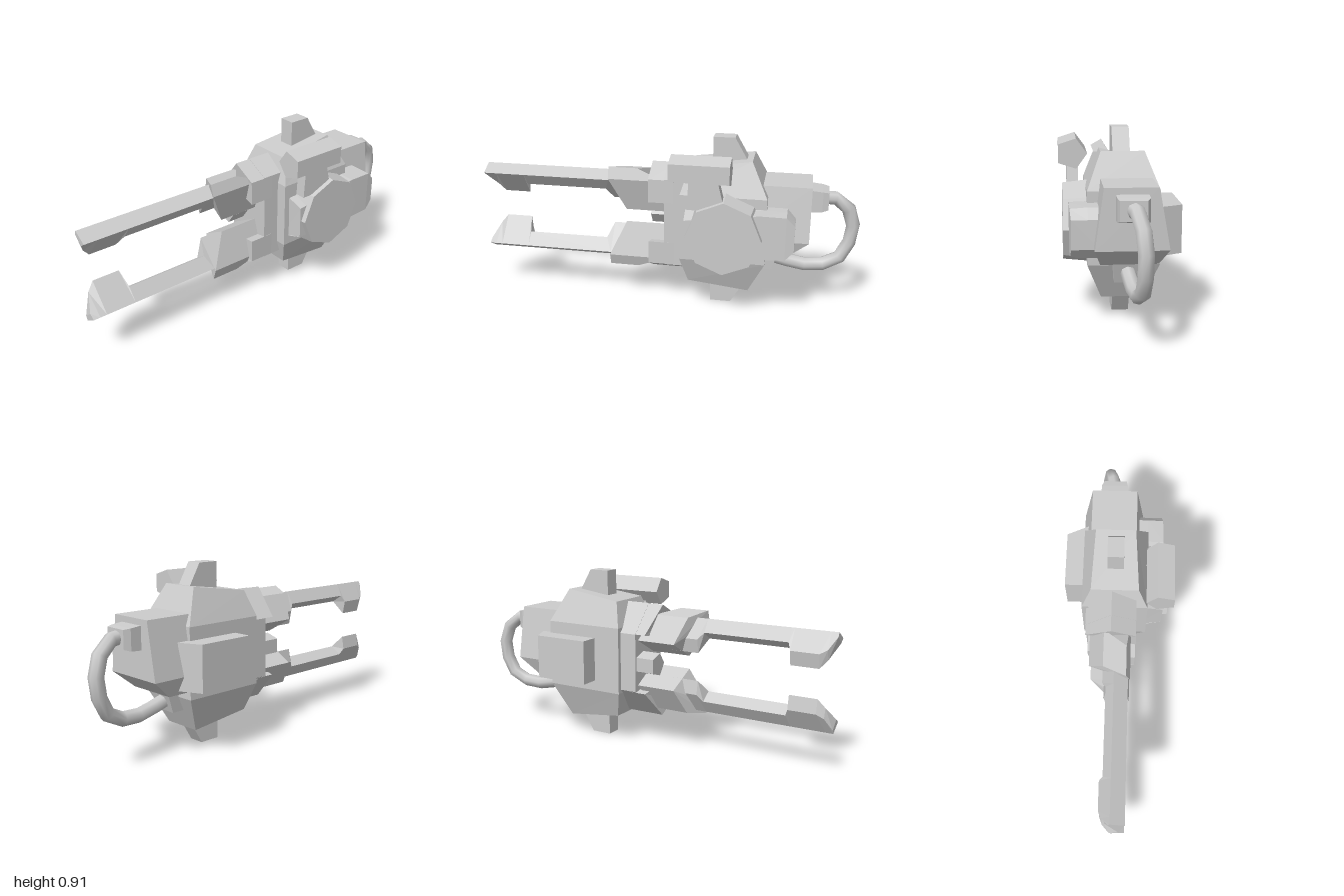
import * as THREE from 'three';

const MID = 0.4555; // height of the horizontal mirror plane

// Closed skin over rings of equal point count, with capped ends.
function loft(rings) {
  const n = rings[0].length, pts = rings.flat(), idx = [];
  for (let r = 0; r < rings.length - 1; r++)
    for (let i = 0; i < n; i++) {
      const j = (i + 1) % n, a = r * n + i, b = r * n + j, c = b + n, d = a + n;
      idx.push(a, b, c, a, c, d);
    }
  const e = (rings.length - 1) * n;
  for (let i = 1; i < n - 1; i++) idx.push(0, i + 1, i, e, e + i, e + i + 1);
  // turn the faces outward whichever way the rings run
  const v = pts.map(p => new THREE.Vector3(...p));
  let vol = 0;
  for (let i = 0; i < idx.length; i += 3)
    vol += v[idx[i]].dot(v[idx[i + 1]].clone().cross(v[idx[i + 2]]));
  if (vol < 0) idx.reverse();
  const g = new THREE.BufferGeometry();
  g.setAttribute('position', new THREE.Float32BufferAttribute(pts.flat(), 3));
  g.setIndex(idx);
  const flat = g.toNonIndexed();
  flat.computeVertexNormals();
  return flat;
}

// Prism along z; each outline point is [x, y, frontZ, backZ].
const prism = o => loft([o.map(p => [p[0], p[1], p[3]]), o.map(p => [p[0], p[1], p[2]])]);
// Rectangular ring at height y.
const row = (y, x0, x1, zf, zb) => [[x0, y, zf], [x1, y, zf], [x1, y, zb], [x0, y, zb]];
// Rectangular ring at depth z.
const slice = (z, x0, x1, y0, y1) => [[x0, y0, z], [x1, y0, z], [x1, y1, z], [x0, y1, z]];
const flip = rings => rings.map(r => r.map(([x, y, z]) => [x, 2 * MID - y, z]));

export function createModel() {
  const model = new THREE.Group();
  const flatMat = new THREE.MeshStandardMaterial({ color: 0xcccccc, flatShading: true });
  const smoothMat = new THREE.MeshStandardMaterial({ color: 0xcccccc });
  const add = (name, geo, mat = flatMat) => {
    const m = new THREE.Mesh(geo, mat);
    m.name = name;
    model.add(m);
    return m;
  };

  // Main body: faceted shell, widest in the middle
  const cap = [[-0.137, 0.765, -0.13], [0.105, 0.765, -0.13], [0.085, 0.808, -0.445], [-0.12, 0.808, -0.445]];
  add('body', loft([
    flip([cap])[0],
    row(0.285, -0.187, 0.153, -0.09, -0.53),
    row(0.635, -0.187, 0.153, -0.09, -0.53),
    cap,
  ]));

  // Front hub with a raised lobe above and below
  add('frontHub', prism([
    [-0.165, 0.61], [-0.03, 0.755], [0.095, 0.69], [0.095, 0.221], [-0.03, 0.158], [-0.165, 0.305],
  ].map(([x, y]) => [x, y, 0, -0.2])));
  const lobe = [[-0.163, 0.61, 0.055], [-0.03, 0.753, 0.085], [0.095, 0.688, 0.085], [0.097, 0.565, 0.085]];

  // Prong sockets: slanted front face
  const socket = [
    [-0.14, 0.575, 0.21, 0], [-0.065, 0.705, 0.25, 0.06], [0.05, 0.73, 0.305, 0.15],
    [0.07, 0.67, 0.305, 0], [0.015, 0.49, 0.22, 0],
  ];

  // Prong: tilted bar with a hooked blade at its tip, [z, inner corner, outer corner]
  const bar = [[0.01, 0.595], [-0.05, 0.635]], hook = [[-0.055, 0.528], [-0.068, 0.6]];
  const prong = [
    [0.15, ...hook], [0.305, ...hook], [0.335, ...bar], [0.775, ...bar], [0.79, ...hook], [0.93, ...hook],
    [0.965, [-0.04, 0.57], [-0.055, 0.62]], [1.0, [0.03, 0.64], [-0.02, 0.68]],
  ].map(([z, c, d]) => [[-0.01, 0.70, z], [0.06, 0.66, z], [...c, z], [...d, z]]);

  // Sight tab
  const tab = [row(0.74, -0.055, 0.027, -0.24, -0.45), row(0.808, -0.055, 0.027, -0.24, -0.41),
    row(0.911, -0.055, 0.027, -0.24, -0.35)];

  // Upper and lower copies
  [['upper', false], ['lower', true]].forEach(([side, low]) => {
    const m = rings => low ? flip(rings) : rings;
    const mp = o => o.map(([x, y, f, b]) => [x, low ? 2 * MID - y : y, f, b]);
    add(side + 'Lobe', prism(mp(lobe.map(p => [...p, -0.05]))));
    add(side + 'Socket', prism(mp(socket)));
    add(side + 'Prong', loft(m(prong)));
    add(side + 'Tab', loft(m(tab)));
  });

  // Small five-sided nozzle between the prongs
  const ring5 = (cx, cy, r, a0) => Array.from({ length: 5 }, (_, i) => {
    const a = a0 + i * Math.PI * 0.4;
    return [cx + r * Math.cos(a), cy + r * Math.sin(a)];
  });
  add('nozzle', prism(ring5(-0.104, 0.45, 0.062, 0).map(p => [...p, 0.1, -0.05])));

  // Block on the right side
  add('sideBlock', loft([0.34, 0.57].map(y => [
    [-0.285, y, -0.24], [-0.12, y, -0.24], [-0.12, y, -0.6], [-0.175, y, -0.59], [-0.285, y, -0.54],
  ])));

  // Eight-sided drum on the left side
  const ring8 = (x, r) => Array.from({ length: 8 }, (_, i) => {
    const a = i * Math.PI / 4;
    return [x, 0.453 + r * Math.cos(a), -0.325 + r * Math.sin(a)];
  });
  add('sideDrum', loft([ring8(0.1, 0.207), ring8(0.145, 0.203), ring8(0.263, 0.19)]));

  // Housing that runs through the drum, chamfered at the back
  add('drumHousing', loft([
    [[0.1, 0.325, -0.12], [0.155, 0.335, -0.12], [0.237, 0.36, -0.125],
      [0.237, 0.53, -0.125], [0.155, 0.56, -0.12], [0.1, 0.57, -0.12]],
    [[0.1, 0.345, -0.5], [0.155, 0.345, -0.5], [0.237, 0.35, -0.5],
      [0.237, 0.58, -0.5], [0.155, 0.583, -0.5], [0.1, 0.583, -0.5]],
    [[0.1, 0.35, -0.63], [0.155, 0.35, -0.63], [0.235, 0.355, -0.63],
      [0.235, 0.578, -0.63], [0.155, 0.583, -0.63], [0.1, 0.583, -0.63]],
    [[0.1, 0.4, -0.673], [0.155, 0.4, -0.673], [0.23, 0.4, -0.673],
      [0.23, 0.535, -0.673], [0.155, 0.535, -0.673], [0.1, 0.535, -0.673]],
  ]));

  // Scope and its bracket
  add('scope', prism(ring5(0.2185, 0.785, 0.076, Math.PI).map(p => [...p, -0.055, -0.353])));
  add('scopeBracket', loft([row(0.59, 0.185, 0.24, -0.14, -0.33), row(0.75, 0.185, 0.24, -0.15, -0.29)]));

  // Rear block, flared at mid height and cut away beneath
  add('rearBlock', loft([
    row(0.32, -0.165, 0.1, -0.4, -0.64),
    row(0.41, -0.2, 0.13, -0.4, -0.745),
    row(0.69, -0.15, 0.09, -0.4, -0.745),
  ]));

  // Handle mounts
  add('upperMount', loft([slice(-0.7, -0.105, 0.04, 0.545, 0.665), slice(-0.8, -0.105, 0.037, 0.55, 0.655),
    slice(-0.83, -0.09, 0.03, 0.56, 0.65)]));
  add('lowerMount', loft([row(0.21, -0.09, 0.03, -0.45, -0.56), row(0.33, -0.1, 0.04, -0.4, -0.6)]));

  // Rear handle: bent tube
  const path = new THREE.CatmullRomCurve3([
    [-0.025, 0.61, -0.77], [-0.05, 0.59, -0.9], [-0.067, 0.445, -0.965],
    [-0.06, 0.265, -0.9], [-0.045, 0.225, -0.75], [-0.03, 0.27, -0.54],
  ].map(p => new THREE.Vector3(...p)));
  add('rearHandle', new THREE.TubeGeometry(path, 9, 0.036, 8), smoothMat);

  return model;
}
